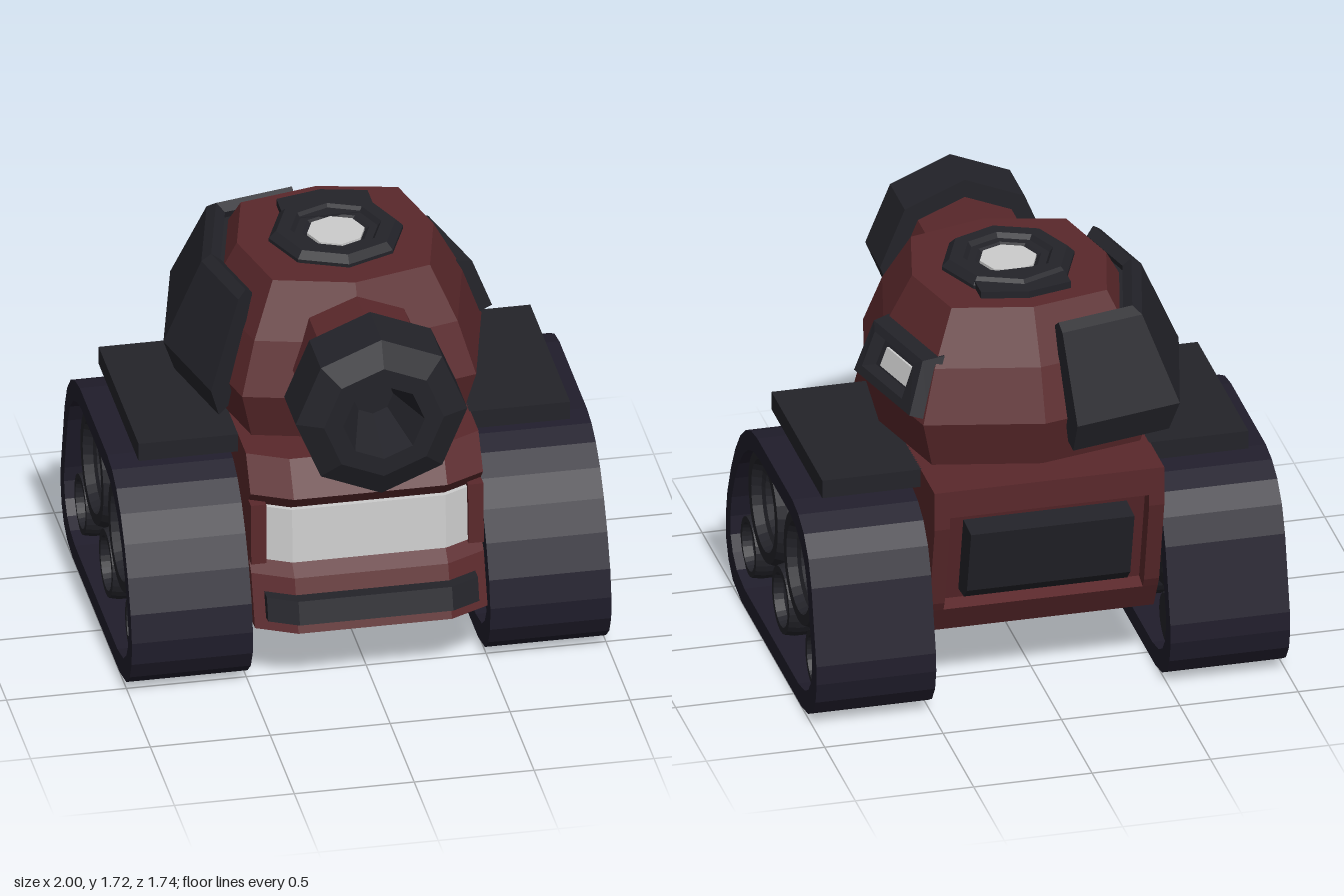
import * as THREE from 'three';

const paint = (color) => new THREE.MeshStandardMaterial({ color, flatShading: true });

// Profile drawn in (z, y), extruded across x from x0 to x1
function across(profile, x0, x1, steps = 1, hole = null) {
  const shape = new THREE.Shape(profile.map(p => new THREE.Vector2(...p)));
  if (hole) shape.holes.push(new THREE.Path(hole.map(p => new THREE.Vector2(...p))));
  return new THREE.ExtrudeGeometry(shape, { depth: x1 - x0, steps, bevelEnabled: false })
    .rotateY(-Math.PI / 2).translate(x1, 0, 0);
}

// As above, with the front swept back near the outer sides
function bowed(profile, half) {
  const g = across(profile, -half, half, 3), p = g.attributes.position;
  for (let i = 0; i < p.count; i++) {
    let x = p.getX(i);
    if (Math.abs(x) < half * 0.6) x = Math.sign(x) * 0.32;
    p.setX(i, x);
    if (p.getZ(i) > 0.3) p.setZ(i, p.getZ(i) - 0.5 * (Math.abs(x) - 0.32));
  }
  g.computeVertexNormals();
  return g;
}

// Closed solid through equal-length rings, faces turned outwards
function loft(rings) {
  const tris = [], n = rings[0].length, last = rings[rings.length - 1];
  for (let i = 0; i < rings.length - 1; i++) for (let j = 0; j < n; j++) {
    const k = (j + 1) % n, a = rings[i], b = rings[i + 1];
    tris.push([a[j], a[k], b[k]], [a[j], b[k], b[j]]);
  }
  for (let j = 1; j < n - 1; j++)
    tris.push([rings[0][0], rings[0][j + 1], rings[0][j]], [last[0], last[j], last[j + 1]]);
  const volume = tris.reduce((s, [a, b, c]) => s + a.dot(b.clone().cross(c)), 0);
  const pts = tris.flatMap(([a, b, c]) => volume > 0 ? [a, b, c] : [a, c, b]);
  const g = new THREE.BufferGeometry().setFromPoints(pts);
  g.computeVertexNormals();
  return g;
}

// Turret surface: t runs round the eight corners from the front, d is the outward offset
const CORNERS = [[0, 1.03], [-0.8, 0.82], [-1, 0], [-0.8, -0.8], [0, -0.98], [0.8, -0.8], [1, 0], [0.8, 0.82]];
const TURRET_Z = -0.145;
function turretRadius(y) {
  if (y < 1.23) return 0.55 + (y - 1.02) * 0.286;
  return y < 1.45 ? 0.61 - (y - 1.23) * 0.364 : 0.53 - (y - 1.45) * 0.545;
}
function turretPoint(t, y, d = 0) {
  const i = Math.floor(t) % 8, f = t - Math.floor(t), a = CORNERS[i], b = CORNERS[(i + 1) % 8];
  const r = d + turretRadius(y);
  return new THREE.Vector3(r * (a[0] + (b[0] - a[0]) * f), y, TURRET_Z + r * (a[1] + (b[1] - a[1]) * f));
}

// Point on the left rear face of the turret at a given z and y
function sidePoint(z, y, d) {
  const a = turretPoint(6, y, d), b = turretPoint(5, y, d);
  return a.lerp(b, (z - a.z) / (b.z - a.z));
}

export function createModel() {
  const model = new THREE.Group();
  const red = paint(0x5a282b), dark = paint(0x232329), rubber = paint(0x201d2b), grey = paint(0xcccccc);
  const add = (name, geometry, material, parent = model) => {
    const m = new THREE.Mesh(geometry, material);
    m.name = name;
    parent.add(m);
  };

  // Hull with a recessed back, and cheeks framing the back panel and front lamp
  add('hull', bowed([[0.5, 1], [0.595, 0.86], [0.53, 0.79], [0.55, 0.55], [0.61, 0.5], [0.69, 0.285],
    [-0.63, 0.285], [-0.7, 0.41], [-0.64, 0.43], [-0.74, 0.87], [-0.805, 0.88], [-0.805, 1]], 0.485), red);
  for (const s of [-1, 1]) {
    const x = s * 0.453;
    add('backCheek', across([[-0.7, 0.41], [-0.64, 0.43], [-0.74, 0.87], [-0.805, 0.88], [-0.805, 0.83], [-0.72, 0.45]],
      x - 0.032, x + 0.032), red);
    add('frontCheek', across([[0.4, 0.81], [0.522, 0.81], [0.53, 0.54], [0.4, 0.54]], x - 0.032, x + 0.032), red);
  }
  add('backPanel', across([[-0.7, 0.83], [-0.86, 0.82], [-0.79, 0.53], [-0.74, 0.48], [-0.62, 0.47]], -0.345, 0.345), dark);
  add('frontLamp', bowed([[0.5, 0.79], [0.553, 0.79], [0.57, 0.553], [0.5, 0.553]], 0.42), grey);
  add('bumper', bowed([[0.56, 0.435], [0.69, 0.435], [0.72, 0.34], [0.62, 0.322], [0.56, 0.322]], 0.44), dark);

  // Running gear, built on the left and mirrored
  const belt = [[0.36, 0], [0.5, 0.03], [0.57, 0.09], [0.61, 0.17], [0.615, 0.27], [0.59, 0.39], [0.53, 0.53], [0.46, 0.65],
    [0.38, 0.75], [0.29, 0.82], [0.2, 0.86], [0.1, 0.875], [-0.47, 0.875], [-0.57, 0.855], [-0.66, 0.81],
    [-0.735, 0.73], [-0.785, 0.62], [-0.865, 0.3], [-0.87, 0.22], [-0.85, 0.13], [-0.8, 0.06], [-0.73, 0.02], [-0.62, 0]];
  const inner = belt.map(([z, y]) => [-0.125 + (z + 0.125) * 0.9, 0.44 + (y - 0.44) * 0.815]);
  const wheels = [[0.16, 0.53, 0.255], [-0.415, 0.53, 0.255], [0.4, 0.225, 0.135], [-0.125, 0.24, 0.152], [-0.655, 0.225, 0.135]];
  for (const s of [1, -1]) {
    const side = new THREE.Group();
    side.name = s > 0 ? 'leftTrack' : 'rightTrack';
    side.scale.x = s;
    model.add(side);
    add('belt', across(belt, 0.495, 1, 1, inner), rubber, side);
    add('fender', new THREE.BoxGeometry(0.42, 0.08, 0.83).translate(0.69, 0.96, -0.16), dark, side);
    for (const [z, y, r] of wheels) {
      const rim = [[0, 0.53], [0.8, 0.53], [1, 0.57], [1, 0.92], [0.94, 0.96], [0.76, 0.96], [0.7, 0.92],
        [0.6, 0.91], [0.54, 0.88], [0, 0.88]].map(([k, x]) => new THREE.Vector2(k * r, x));
      add('wheel', new THREE.LatheGeometry(rim, 28).rotateZ(-Math.PI / 2).translate(0, y, z), dark, side);
    }
  }

  // Turret
  const ring = y => CORNERS.map((_, t) => turretPoint(t, y));
  add('turretNeck', new THREE.CylinderGeometry(0.38, 0.38, 0.06, 8).translate(0, 1.01, -0.13), red);
  add('turret', loft([1.02, 1.23, 1.45, 1.67].map(ring)), red);

  // Cannon with an open muzzle
  add('barrel', new THREE.CylinderGeometry(0.28, 0.28, 0.5, 8).rotateX(Math.PI / 2).translate(0, 1.34, 0.37), red);
  const muzzle = [[0, 0.58], [0.358, 0.58], [0.358, 0.82], [0.25, 0.873], [0.17, 0.873], [0.085, 0.64], [0, 0.64]];
  add('muzzle', new THREE.LatheGeometry(muzzle.map(p => new THREE.Vector2(...p)), 8)
    .rotateX(Math.PI / 2).translate(0, 1.34, 0), dark);

  // Roof hatch
  const hatch = [[0.28, 1.65], [0.28, 1.685], [0.25, 1.715], [0.19, 1.715], [0.175, 1.695], [0.14, 1.695], [0.12, 1.68], [0, 1.68]];
  add('hatch', new THREE.LatheGeometry(hatch.map(p => new THREE.Vector2(...p)), 8).translate(0, 0, -0.13), dark);
  add('hatchLamp', new THREE.CylinderGeometry(0.12, 0.12, 0.02, 8).translate(0, 1.682, -0.13), grey);
  const flap = y => [[0.19, -0.25], [0.19, -0.42], [0, -0.465], [-0.19, -0.42], [-0.19, -0.25]]
    .map(([x, z]) => new THREE.Vector3(x, y, z));
  add('hatchHinge', loft([flap(1.64), flap(1.7)]), dark);

  // Armour plate wrapped round the right and back of the turret, on a thinner backing
  const wrap = (section, t0, t1) => loft([t0, 2, 3, t1].map(t => section.map(([d, y]) => turretPoint(t, y, d))));
  add('armourPlate', wrap([[0.035, 1.13], [0.095, 1.11], [0.11, 1.24], [0.11, 1.6], [0.085, 1.63], [0.03, 1.6]], 1.24, 3.8), dark);
  add('armourBacking', wrap([[-0.02, 1.15], [0.045, 1.15], [0.045, 1.24], [0.045, 1.57], [-0.02, 1.57]], 1.3, 3.76), dark);

  // Side window: four-sided frame with a sunken lamp
  const frame = [
    [[-0.125, 1.245], [-0.14, 1.265], [-0.18, 1.3], [-0.2, 1.31]],
    [[-0.62, 1.245], [-0.6, 1.265], [-0.51, 1.3], [-0.49, 1.31]],
    [[-0.56, 1.5], [-0.545, 1.48], [-0.5, 1.45], [-0.47, 1.43]],
    [[-0.125, 1.5], [-0.14, 1.48], [-0.18, 1.45], [-0.2, 1.43]],
  ].map(pts => pts.map(([z, y], i) => sidePoint(z, y, [-0.02, 0.055, 0.055, -0.01][i])));
  const slab = (pts, d) => loft([-0.03, d].map(e => pts.map(([z, y]) => sidePoint(z, y, e))));
  add('windowFrame', loft([...frame, frame[0]]), dark);
  add('windowBack', slab([[-0.17, 1.29], [-0.52, 1.29], [-0.5, 1.46], [-0.17, 1.46]], 0.006), dark);
  add('windowLamp', slab([[-0.235, 1.32], [-0.47, 1.32], [-0.445, 1.4], [-0.235, 1.4]], 0.014), grey);

  return model;
}
